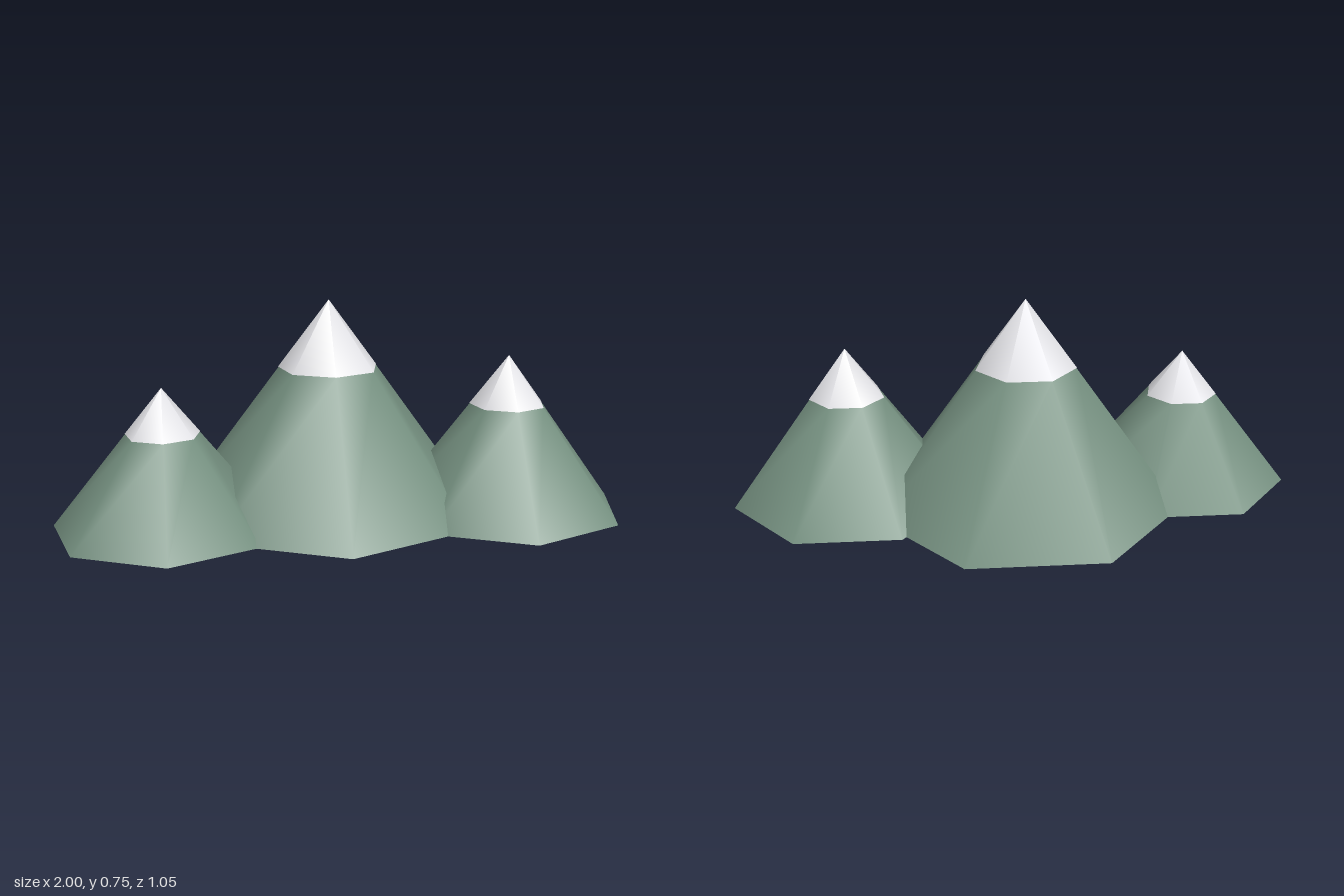
import * as THREE from 'three';

const SIDES = 7;

export function createModel() {
  const rock = new THREE.MeshStandardMaterial({ color: 0x748f7f });
  rock.name = 'mountainGreen';
  const snow = new THREE.MeshStandardMaterial({ color: 0xe4e4e8 });
  snow.name = 'snowWhite';

  const model = new THREE.Group();
  model.name = 'mountainRange';

  // One seven-sided peak: a slope cut off at the snow line, then a snow cap
  function addPeak(name, x, z, radius, height, snowLine) {
    const peak = new THREE.Group();
    peak.name = name;
    peak.position.set(x, 0, z);

    const capHeight = height - snowLine;
    const cutRadius = radius * capHeight / height;

    const slope = new THREE.Mesh(
      new THREE.CylinderGeometry(cutRadius, radius, snowLine, SIDES), rock);
    slope.name = 'slope';
    slope.position.y = snowLine / 2;

    // Cap overhangs the slope very slightly
    const cap = new THREE.Mesh(
      new THREE.ConeGeometry(cutRadius * 1.015, capHeight, SIDES), snow);
    cap.name = 'snowCap';
    cap.position.y = snowLine + capHeight / 2;

    peak.add(slope, cap);
    model.add(peak);
  }

  addPeak('middlePeak', -0.035, -0.03, 0.553, 0.75, 0.51);
  addPeak('rightPeak', -0.62, 0.13, 0.39, 0.49, 0.33);
  addPeak('leftPeak', 0.588, 0.067, 0.421, 0.555, 0.38);

  return model;
}
